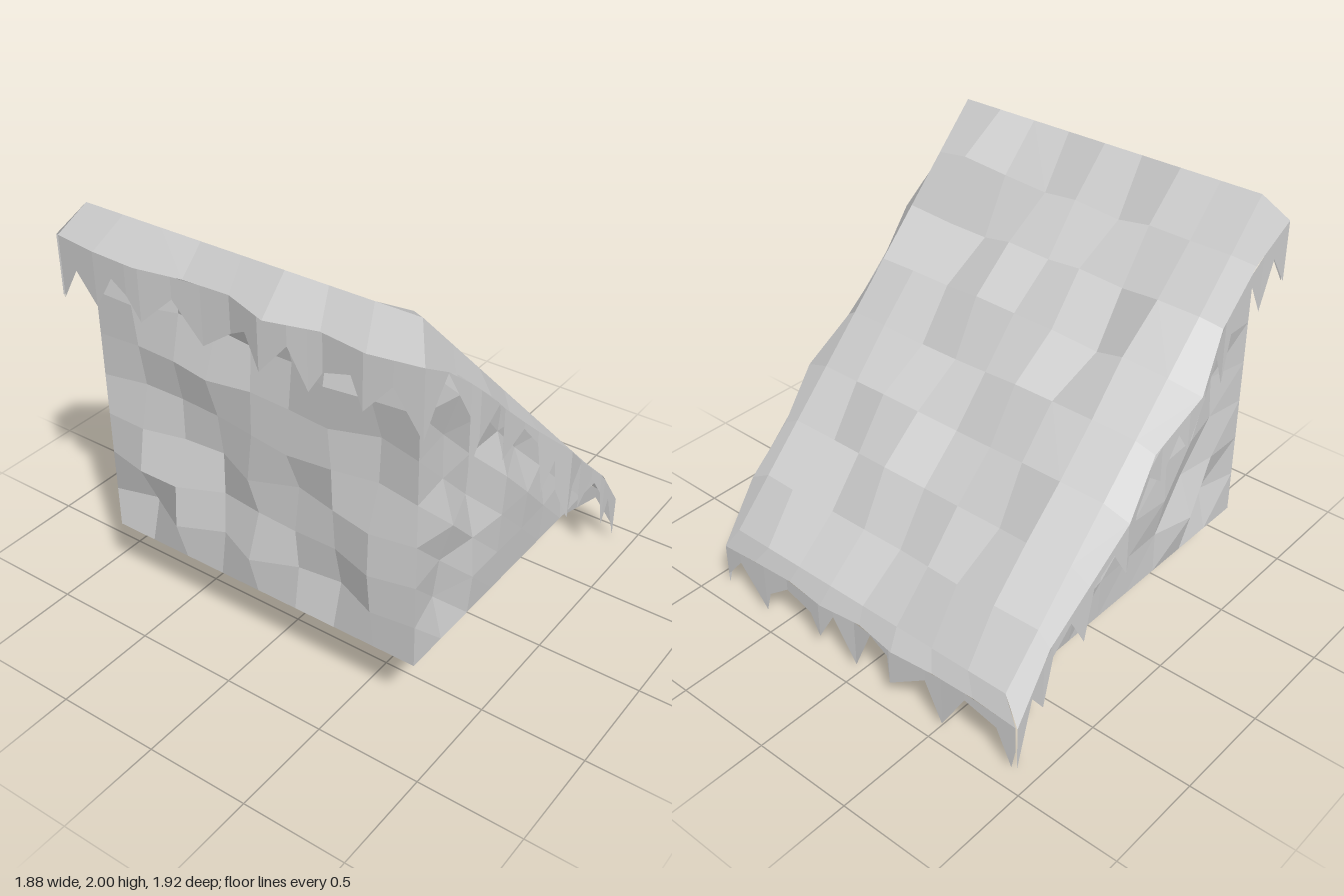
import * as THREE from 'three';

const N = 8, S = 1.64, L = -0.77, R = 0.87, B = 0.36, T = 2, D = 0.82;
const V = (x, y, z) => new THREE.Vector3(x, y, z);

// Repeatable lump heights between -bump and bump
function lumps(seed, bump) {
  let s = seed;
  return () => {
    s = (s * 16807) % 2147483647;
    return ((s / 2147483647) * 2 - 1) * bump;
  };
}

// Flat-shaded mesh from triangles and quads; a quad is shaded as one facet
function facetMesh(name, faces, side) {
  const pos = [], nor = [];
  for (const f of faces) {
    const [a, b, c, d = a] = f;
    const n = c.clone().sub(a).cross(d.clone().sub(b)).normalize();
    const corners = f.length === 4 ? [a, b, d, b, c, d] : f;
    for (const p of corners) {
      pos.push(p.x, p.y, p.z);
      nor.push(n.x, n.y, n.z);
    }
  }
  const geo = new THREE.BufferGeometry();
  geo.setAttribute('position', new THREE.Float32BufferAttribute(pos, 3));
  geo.setAttribute('normal', new THREE.Float32BufferAttribute(nor, 3));
  const mesh = new THREE.Mesh(geo, new THREE.MeshStandardMaterial({ color: 0xcccccc, side }));
  mesh.name = name;
  return mesh;
}

// Lumpy face: an N x N grid (or a triangular half) pushed in and out along u x v, with straight borders
function lumpyFace(name, origin, u, v, height, half = false) {
  const normal = u.clone().cross(v).normalize();
  const rows = [];
  for (let j = 0; j <= N; j++) {
    rows.push([]);
    for (let i = 0; i <= N; i++) {
      const edge = i === 0 || j === 0 || i === N || j === N || (half && i + j >= N);
      rows[j].push(origin.clone().addScaledVector(u, i / N).addScaledVector(v, j / N)
        .addScaledVector(normal, edge ? 0 : height(i, j)));
    }
  }
  const faces = [];
  for (let j = 0; j < N; j++) {
    for (let i = 0; i < N; i++) {
      const a = rows[j][i], b = rows[j][i + 1], c = rows[j + 1][i + 1], d = rows[j + 1][i];
      if (!half) faces.push([a, b, c, d]);
      else {
        if (i + j < N) faces.push([a, b, d]);
        if (i + j < N - 1) faces.push([b, c, d]);
      }
    }
  }
  return facetMesh(name, faces, THREE.FrontSide);
}

// Ragged fringe: rim on the slope's border, a rolled-over shoulder of N facets, then hanging teeth.
// shifts moves the N + 1 shoulder points outward; outline holds [t along the rim, height of the lower edge]
function fringe(name, rim, shoulder, out, lift, shifts, outline) {
  const top = [], mids = [];
  shifts.forEach((shift, k) => {
    top.push(rim[0].clone().lerp(rim[1], k / N));
    const p = shoulder[0].clone().lerp(shoulder[1], k / N).addScaledVector(out, shift);
    if (k > 0 && k < N) p.y += lift;
    mids.push(p);
  });
  const faces = [];
  for (let k = 0; k < N; k++) faces.push([top[k], mids[k], mids[k + 1], top[k + 1]]);

  const hang = outline.map(([t, y]) => {
    const k = Math.min(N - 1, Math.floor(t * N));
    const p = mids[k].clone().lerp(mids[k + 1], t * N - k);
    return [p, V(p.x, Math.min(y, p.y - 0.005), p.z)];
  });
  for (let i = 0; i < hang.length - 1; i++) {
    const [a, d] = hang[i], [b, c] = hang[i + 1];
    faces.push([a, d, c, b]);
  }
  return facetMesh(name, faces, THREE.DoubleSide);
}

export function createModel() {
  const model = new THREE.Group();
  model.name = 'grassySlopeBlock';

  // Lumps of the slope, in hundredths: one row per strip from back to front, each running downhill
  const slopeLumps = [
    [0, 1, 4, 3, 3, 4, 4],
    [1, -2, -6, 4, 3, -3, 4],
    [-5, 2, 0, 4, 0, 1, 0],
    [0, -2, 1, 0, -1, 0, -4],
    [-4, 1, 3, -3, 2, 4, -2],
    [0, -6, 0, -3, 3, 0, -2],
    [5, -5, 1, 1, 0, -4, 3],
  ];

  // Earth wedge and its sloping top
  const X = V(S, 0, 0), Y = V(0, S, 0), Z = V(0, 0, S);
  model.add(
    lumpyFace('slope', V(L, T, -D), Z, V(S, -S, 0), (i, j) => slopeLumps[i - 1][j - 1] * 0.01 * Math.SQRT2),
    lumpyFace('frontWall', V(L, B, D), X, Y, lumps(431, 0.05), true),
    lumpyFace('backWall', V(L, B, -D), Y, X, lumps(977, 0.05), true),
    lumpyFace('leftRearWall', V(L, B, -D), Z, Y, lumps(2311, 0.06)),
    lumpyFace('underside', V(L, B, -D), X, Z, lumps(5521, 0.05)),
  );

  // Fringes running down the two sloping borders: lower edges as [x, y]
  const along = (pts) => pts.map(([x, y]) => [(x + 0.87) / 1.77, y]);
  const frontTeeth = along([
    [-0.87, 1.56], [-0.77, 1.69], [-0.7, 1.78], [-0.551, 1.5], [-0.55, 1.24], [-0.49, 1.36], [-0.33, 1.44],
    [-0.261, 1.28], [-0.26, 1.13], [-0.09, 1.19], [0.02, 1.06], [0.06, 0.79], [0.13, 0.92], [0.15, 0.75],
    [0.24, 0.56], [0.29, 0.7], [0.429, 0.74], [0.43, 0.48], [0.56, 0.57], [0.66, 0.43], [0.71, 0.21],
    [0.78, 0.32], [0.9, 0.02],
  ]);
  const backTeeth = along([
    [-0.87, 1.58], [-0.78, 1.72], [-0.7, 1.5], [-0.62, 1.66], [-0.5, 1.5], [-0.45, 1.25], [-0.37, 1.42],
    [-0.24, 1.3], [-0.15, 1.09], [-0.1, 1.18], [-0.02, 0.98], [0.06, 1.04], [0.17, 0.93], [0.24, 0.66],
    [0.32, 0.8], [0.43, 0.7], [0.48, 0.43], [0.56, 0.58], [0.66, 0.46], [0.72, 0.22], [0.8, 0.33], [0.9, 0.01],
  ]);
  const frontShifts = [0, -0.01, 0.02, -0.02, 0, 0.06, 0.01, 0.02, 0];
  const backShifts = [0.01, 0, 0, 0.065, 0, 0.045, 0.02, -0.005, 0.01];
  for (const [name, s, shifts, teeth] of [
    ['frontFringe', 1, frontShifts, frontTeeth], ['backFringe', -1, backShifts, backTeeth],
  ]) {
    model.add(fringe(name, [V(L, T, s * D), V(R, B, s * D)],
      [V(-0.87, 1.87, s * 0.9), V(0.9, 0.24, s * 0.9)], V(0, 0, s), 0.07, shifts, teeth));
  }

  // Fringes along the bottom and the ridge, running from +z to -z: lower edges as [z, y]
  const across = (pts) => pts.map(([z, y]) => [(0.9 - z) / 1.8, y]);
  const lowerTeeth = across([
    [0.9, 0.07], [0.79, 0.2], [0.62, 0.01], [0.59, 0.12], [0.47, 0.21], [0.3, 0.18], [0.24, 0.08], [0.15, 0.24],
    [0.03, 0.02], [-0.08, 0.28], [-0.2, 0.23], [-0.21, 0.08], [-0.41, 0.21], [-0.5, 0.01], [-0.63, 0.23],
    [-0.8, 0.18], [-0.88, 0], [-0.9, 0.1],
  ]);
  const ridgeTeeth = across([
    [0.9, 1.56], [0.78, 1.76], [0.66, 1.62], [0.6, 1.75], [0.46, 1.7], [0.4, 1.6], [0.32, 1.78], [0.19, 1.63],
    [0.1, 1.76], [0, 1.7], [-0.14, 1.6], [-0.28, 1.77], [-0.43, 1.63], [-0.5, 1.73], [-0.58, 1.78],
    [-0.68, 1.62], [-0.8, 1.74], [-0.9, 1.58],
  ]);
  model.add(
    fringe('lowerFringe', [V(R, B, D), V(R, B, -D)], [V(0.9, 0.24, 0.9), V(0.9, 0.24, -0.9)],
      V(1, 0, 0), 0.03, [0, 0.01, 0, 0.025, 0, 0.035, 0.015, 0.01, 0], lowerTeeth),
    fringe('ridgeFringe', [V(L, T, D), V(L, T, -D)], [V(-0.87, 1.87, 0.9), V(-0.87, 1.87, -0.9)],
      V(-1, 0, 0), 0, [0, 0.04, 0.01, 0.07, -0.01, 0, 0.04, 0.03, 0], ridgeTeeth),
  );
  return model;
}
